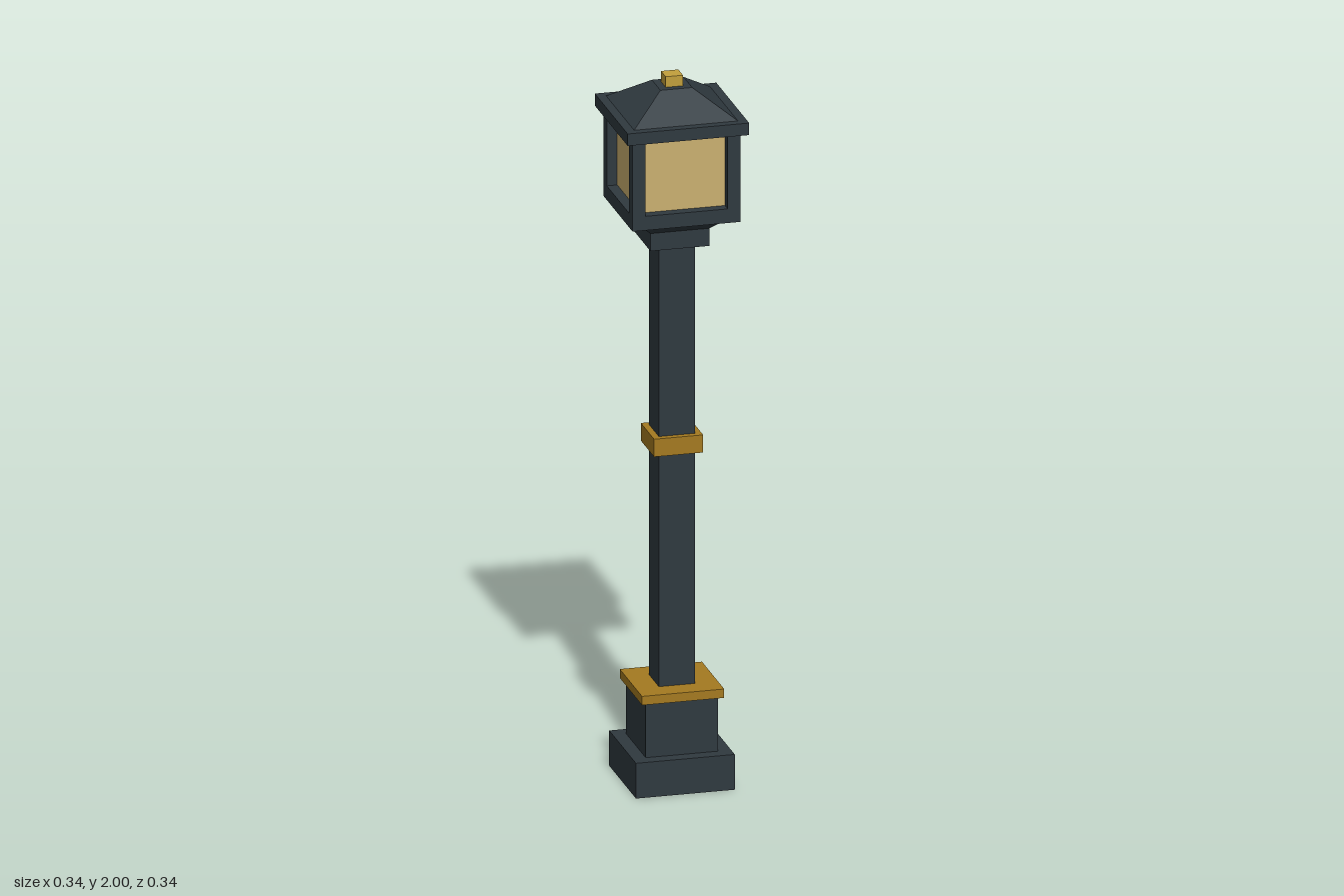
import * as THREE from 'three';

export function createModel() {
  const model = new THREE.Group();
  model.name = 'streetLamp';

  const material = (name, color) => {
    const m = new THREE.MeshStandardMaterial({ color });
    m.name = name;
    return m;
  };
  const iron = material('dark iron', 0x2f393f);
  const bronze = material('bronze trim', 0xa47a20);
  const brass = material('brass finial', 0xc2a03c);
  const glass = material('warm glass', 0xcab070);

  // Square block between two heights
  function block(name, width, y0, y1, mat, x = 0, z = 0) {
    const mesh = new THREE.Mesh(new THREE.BoxGeometry(width, y1 - y0, width), mat);
    mesh.name = name;
    mesh.position.set(x, (y0 + y1) / 2, z);
    model.add(mesh);
  }

  // Square block whose top and bottom widths differ
  function taper(name, bottom, top, y0, y1, mat) {
    const g = new THREE.BoxGeometry(1, y1 - y0, 1);
    const p = g.attributes.position;
    for (let i = 0; i < p.count; i++) {
      const w = p.getY(i) > 0 ? top : bottom;
      p.setX(i, p.getX(i) * w);
      p.setZ(i, p.getZ(i) * w);
    }
    g.computeVertexNormals();
    const mesh = new THREE.Mesh(g, mat);
    mesh.name = name;
    mesh.position.y = (y0 + y1) / 2;
    model.add(mesh);
  }

  // Pedestal
  block('baseStep', 0.274, 0, 0.1, iron);
  block('plinth', 0.2, 0.1, 0.255, iron);
  block('plinthTrim', 0.228, 0.255, 0.28, bronze);

  // Post
  block('post', 0.1, 0.28, 1.53, iron);
  block('postBand', 0.136, 0.94, 0.99, bronze);
  block('collar', 0.164, 1.53, 1.58, iron);

  // Lantern
  taper('lanternFunnel', 0.164, 0.24, 1.58, 1.615, iron);
  block('lanternFloor', 0.3, 1.615, 1.655, iron);
  block('lanternGlass', 0.242, 1.655, 1.866, glass);
  for (const sx of [-1, 1]) {
    for (const sz of [-1, 1]) {
      block('lanternCornerPost', 0.036, 1.655, 1.866, iron, sx * 0.132, sz * 0.132);
    }
  }

  // Roof
  block('eave', 0.337, 1.866, 1.9, iron);
  taper('roof', 0.288, 0.088, 1.9, 1.97, iron);
  block('finial', 0.048, 1.97, 2, brass);

  return model;
}
